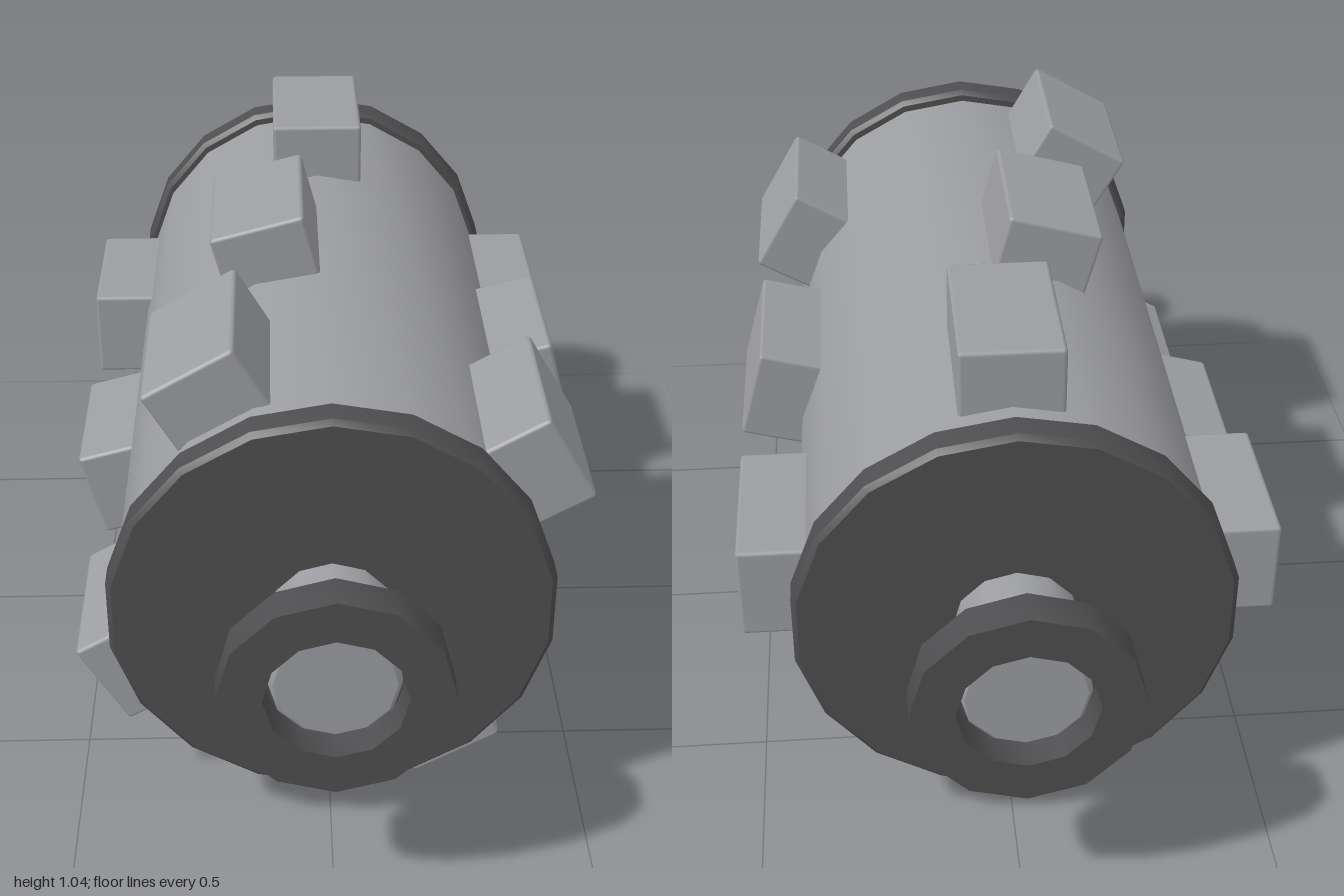
import * as THREE from 'three';
import { toCreasedNormals } from 'three/addons/utils/BufferGeometryUtils.js';
import { RoundedBoxGeometry } from 'three/addons/geometries/RoundedBoxGeometry.js';

const lightMetal = new THREE.MeshStandardMaterial({ color: 0x9c9da1 });
lightMetal.name = 'light metal';
const darkMetal = new THREE.MeshStandardMaterial({ color: 0x4e4e50 });
darkMetal.name = 'dark metal';

const AXIS_HEIGHT = 0.525;

// Turned part around the z axis; profile is [radius, z] pairs
function turned(name, profile, sides, material) {
  const points = profile.map(([r, z]) => new THREE.Vector2(r, z));
  const geometry = new THREE.LatheGeometry(points, sides).rotateX(Math.PI / 2);
  const mesh = new THREE.Mesh(toCreasedNormals(geometry, 0.6), material);
  mesh.name = name;
  return mesh;
}

// Solid bevelled disc or rod between two z positions
function rod(name, radius, z0, z1, bevel, sides, material) {
  return turned(name, [
    [0, z0], [radius - bevel, z0], [radius, z0 + bevel],
    [radius, z1 - bevel], [radius - bevel, z1], [0, z1],
  ], sides, material);
}

// Ring with a through bore
function ring(name, inner, outer, z0, z1, sides, material) {
  return turned(name, [
    [inner, z0], [outer, z0], [outer, z1], [inner, z1], [inner, z0],
  ], sides, material);
}

export function createModel() {
  const model = new THREE.Group();
  model.name = 'toothedDrum';
  const roller = new THREE.Group();
  roller.name = 'roller';
  roller.position.y = AXIS_HEIGHT;
  model.add(roller);

  // Drum body and through shaft
  roller.add(rod('drum', 0.4, -0.69, 0.69, 0.012, 18, lightMetal));
  roller.add(rod('shaft', 0.118, -0.96, 0.96, 0.008, 12, lightMetal));

  // End plates and shaft collars
  for (const side of [1, -1]) {
    const label = side > 0 ? 'front' : 'back';
    const z = (a, b) => (side > 0 ? [a, b] : [-b, -a]);
    roller.add(rod(label + 'EndPlate', 0.418, ...z(0.692, 0.762), 0.01, 18, darkMetal));
    roller.add(ring(label + 'Collar', 0.128, 0.21, ...z(0.93, 1), 12, darkMetal));
  }

  // Three rows of four teeth, each row twisted 15 degrees further
  const toothGeometry = new RoundedBoxGeometry(0.195, 0.175, 0.324, 1, 0.008);
  toothGeometry.translate(0, 0.4275, 0);
  for (let row = 0; row < 3; row++) {
    for (let i = 0; i < 4; i++) {
      const tooth = new THREE.Mesh(toothGeometry, lightMetal);
      tooth.name = `toothRow${row + 1}Number${i + 1}`;
      tooth.position.z = (row - 1) * 0.482;
      tooth.rotation.z = row * Math.PI / 12 + i * Math.PI / 2;
      roller.add(tooth);
    }
  }
  return model;
}
